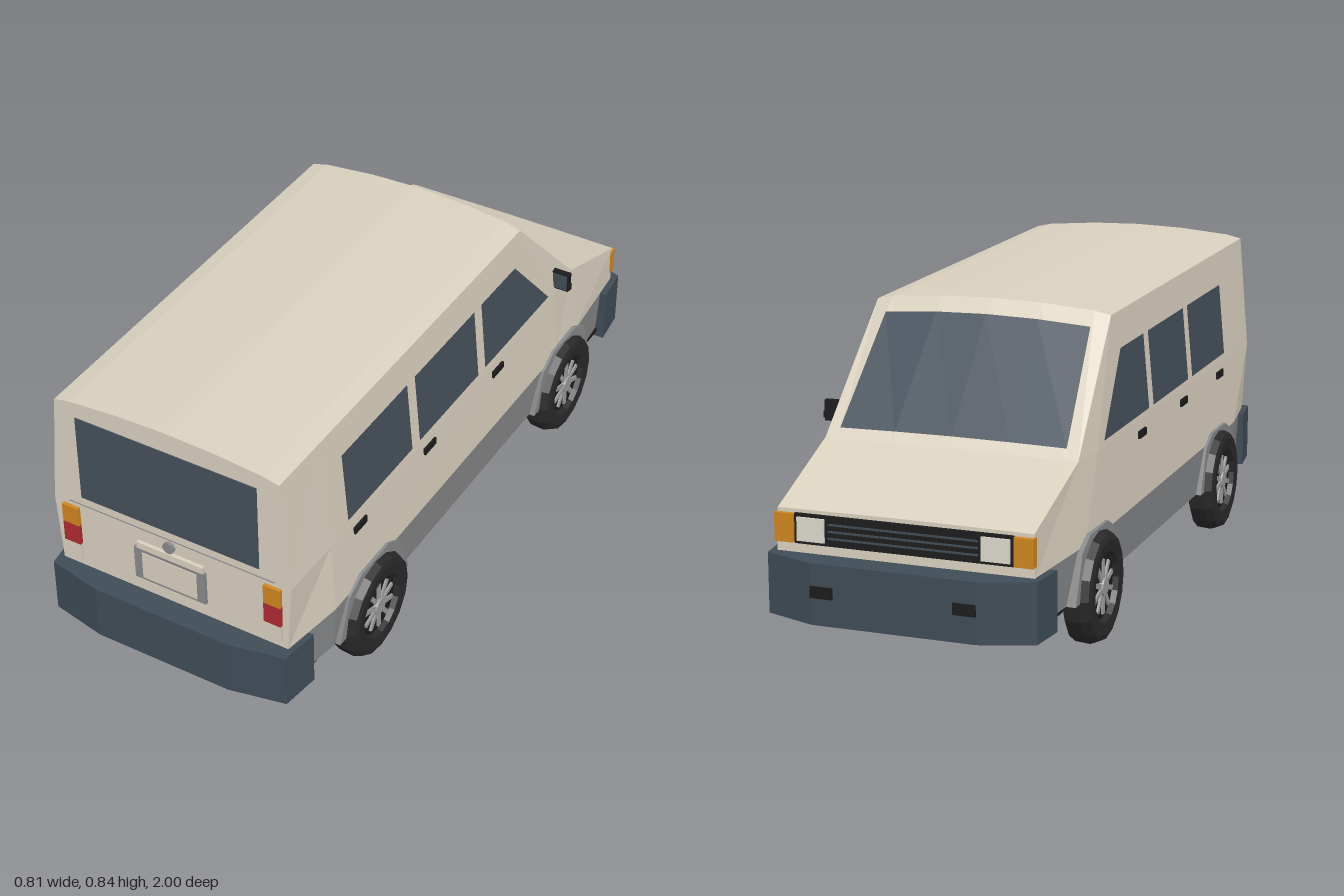
import * as THREE from 'three';

const mat = (name, color) => Object.assign(new THREE.MeshStandardMaterial({ color, flatShading: true }), { name });
const M = {
  paint: mat('cream paint', 0xd9d0be),
  glass: mat('tinted glass', 0x454f5b),
  bumper: mat('bumper slate', 0x3f4c57),
  sill: mat('sill grey', 0x88898a),
  black: mat('black trim', 0x1c1c1d),
  tyre: mat('tyre rubber', 0x29292a),
  metal: mat('wheel metal', 0x9a9a9a),
  orange: mat('indicator orange', 0xd0861f),
  red: mat('tail lamp red', 0xb02a31),
  lamp: mat('headlamp white', 0xdcd8cc),
};

// Mirrors a half profile (bottom to centre line) into a full ring from +x over the top to -x
const ring = (half) => [...half, ...half.slice(0, -1).reverse().map(([x, y, z]) => [-x, y, z])];

// Skins rings that run from the tail (+z) to the nose (-z)
function loft(rings, capped = true) {
  const v = [];
  const tri = (...p) => p.forEach((q) => v.push(...q));
  for (let i = 0; i < rings.length - 1; i++) {
    const A = rings[i], B = rings[i + 1];
    for (let j = 0; j < A.length - 1; j++) {
      tri(A[j], B[j], B[j + 1]);
      tri(A[j], B[j + 1], A[j + 1]);
    }
  }
  if (capped) {
    const A = rings[0], B = rings[rings.length - 1];
    for (let j = 1; j < A.length - 1; j++) {
      tri(A[0], A[j], A[j + 1]);
      tri(B[0], B[j + 1], B[j]);
    }
  }
  const g = new THREE.BufferGeometry();
  g.setAttribute('position', new THREE.Float32BufferAttribute(v, 3));
  g.computeVertexNormals();
  return g;
}

function createWheel() {
  const wheel = new THREE.Group();
  const add = (name, geo, m) => {
    const mesh = new THREE.Mesh(geo, m);
    mesh.name = name;
    wheel.add(mesh);
    return mesh;
  };
  // Lathe axis is y; the outer face of the wheel is at +y
  const profile = [[0, -0.04], [0.125, -0.04], [0.147, -0.03], [0.15, 0.012], [0.14, 0.035],
    [0.125, 0.04], [0.094, 0.037], [0.088, 0.02], [0, 0.02]];
  add('tyre', new THREE.LatheGeometry(profile.map(([x, y]) => new THREE.Vector2(x, y)), 16), M.tyre);
  add('rimDisc', new THREE.CylinderGeometry(0.086, 0.086, 0.008, 16).translate(0, 0.019, 0), M.black);
  add('hub', new THREE.CylinderGeometry(0.024, 0.028, 0.016, 12).translate(0, 0.026, 0), M.metal);
  for (let i = 0; i < 10; i++) {
    const spoke = new THREE.BoxGeometry(0.054, 0.01, 0.013).translate(0.046, 0.024, 0);
    add('spoke', spoke.rotateY((i / 10) * Math.PI * 2), M.metal);
  }
  return wheel;
}

export function createModel() {
  const van = new THREE.Group();
  van.name = 'van';
  const add = (name, geo, m) => {
    const mesh = new THREE.Mesh(geo, m);
    mesh.name = name;
    van.add(mesh);
    return mesh;
  };
  const box = (name, m, w, h, d, x, y, z) =>
    add(name, new THREE.BoxGeometry(w, h, d).translate(x, y, z), m);

  // Body shell: tail, rear quarter, front pillar, windscreen base, nose
  const roof = (z, lean) => [[0.33, 0.815, z], [0.285, 0.825, z - lean * 0.3], [0.14, 0.837, z - lean * 0.8], [0, 0.841, z - lean]];
  const pillar = ring([[0.373, 0.283, -0.5], [0.36, 0.5, -0.5], ...roof(-0.31, 0.01)]);
  const cowl = ring([[0.37, 0.283, -0.62], [0.35, 0.5, -0.62], [0.349, 0.5, -0.62], [0.315, 0.501, -0.62], [0.16, 0.503, -0.62], [0, 0.504, -0.62]]);
  add('bodyShell', loft([
    ring([[0.345, 0.283, 0.935], [0.358, 0.49, 0.935], ...roof(0.935, 0)]),
    ring([[0.373, 0.283, 0.75], [0.36, 0.49, 0.75], ...roof(0.75, 0)]),
    pillar,
    cowl,
    ring([[0.345, 0.283, -0.92], [0.343, 0.394, -0.92], [0.342, 0.395, -0.92], [0.3, 0.396, -0.92], [0.15, 0.397, -0.92], [0, 0.398, -0.92]]),
  ]), M.paint);

  // Windscreen lies just above the sloping panel
  const across = (t) => pillar.slice(3, 8).map((p, i) => {
    const q = cowl[i + 3];
    return [0, 1, 2].map((k) => p[k] + (q[k] - p[k]) * t + [0, 0.004, -0.004][k]);
  });
  add('windscreen', loft([across(0.12), across(0.93)], false), M.glass);

  // Lower sill band and floor
  const sillRing = (z, w) => ring([[w - 0.008, 0.15, z], [w, 0.284, z], [0, 0.284, z]]);
  add('sill', loft([sillRing(0.93, 0.345), sillRing(0.75, 0.373), sillRing(-0.62, 0.371), sillRing(-0.92, 0.345)]), M.sill);
  box('floor', M.black, 0.7, 0.012, 1.8, 0, 0.146, 0);

  // Bumpers: plan outlines with angled faces
  const bumper = (name, half, dir) => {
    const pts = [...half, ...half.slice().reverse().map(([x, z]) => [-x, z])].map(([x, z]) => new THREE.Vector2(x, -z * dir));
    const geo = new THREE.ExtrudeGeometry(new THREE.Shape(pts), { depth: 0.16, bevelEnabled: false });
    add(name, geo.rotateX(-Math.PI / 2).translate(0, 0.123, 0), M.bumper);
  };
  bumper('rearBumper', [[0.372, 0.857], [0.357, 0.968], [0.2, 1]], 1);
  bumper('frontBumper', [[0.372, 0.835], [0.36, 0.945], [0.22, 0.995]], -1);

  // Side windows, following the lean of the upper body side
  const sideX = (y) => 0.36 - (0.03 * (y - 0.495)) / 0.32 + 0.003;
  const windows = [
    [[0.665, 0.515], [0.335, 0.515], [0.335, 0.72], [0.665, 0.72]],
    [[0.295, 0.515], [-0.03, 0.515], [-0.03, 0.72], [0.295, 0.72]],
    [[-0.07, 0.515], [-0.45, 0.515], [-0.265, 0.72], [-0.07, 0.72]],
  ];
  for (const s of [1, -1]) {
    const side = s > 0 ? 'left' : 'right';
    for (const w of windows) {
      const order = s > 0 ? [0, 1, 2, 0, 2, 3] : [0, 2, 1, 0, 3, 2];
      const geo = new THREE.BufferGeometry().setFromPoints(
        order.map((i) => new THREE.Vector3(s * sideX(w[i][1]), w[i][1], w[i][0])));
      geo.computeVertexNormals();
      add(side + 'Window', geo, M.glass);
    }
    for (const z of [0.61, 0.245, -0.14]) box(side + 'DoorHandle', M.black, 0.012, 0.02, 0.06, s * 0.362, 0.462, z);

    // Wheels with flared arches
    for (const z of [0.56, -0.54]) {
      const wheel = createWheel();
      wheel.name = side + (z > 0 ? 'RearWheel' : 'FrontWheel');
      wheel.rotation.z = -s * Math.PI / 2;
      wheel.position.set(s * 0.365, 0.153, z);
      van.add(wheel);
      const arc = [[-0.18, 0], [-0.13, 0.128], [-0.07, 0.16], [0.07, 0.16], [0.13, 0.128], [0.18, 0]];
      const arch = new THREE.ExtrudeGeometry(
        new THREE.Shape(arc.map(([a, b]) => new THREE.Vector2(a, b))), { depth: 0.03, bevelEnabled: false });
      add(side + 'WheelArch', arch.rotateY(Math.PI / 2).translate(s > 0 ? 0.35 : -0.38, 0.15, z), M.sill);
    }

    // Tail lamps
    box(side + 'RearIndicator', M.orange, 0.05, 0.058, 0.014, s * 0.305, 0.45, 0.938);
    box(side + 'BrakeLamp', M.red, 0.05, 0.063, 0.014, s * 0.305, 0.39, 0.938);
    box(side + 'ReversingLamp', M.paint, 0.05, 0.053, 0.014, s * 0.305, 0.332, 0.938);

    // Nose lamps and bumper lamps
    box(side + 'FrontIndicator', M.orange, 0.052, 0.075, 0.025, s * 0.32, 0.348, -0.921);
    box(side + 'Headlamp', M.lamp, 0.075, 0.062, 0.02, s * 0.247, 0.348, -0.924);
    box(side + 'BumperLamp', M.black, 0.06, 0.03, 0.014, s * 0.19, 0.21, -0.994);
  }

  // Grille
  box('grille', M.black, 0.585, 0.078, 0.016, 0, 0.348, -0.921);
  for (const y of [0.33, 0.348, 0.366]) box('grilleSlat', M.bumper, 0.4, 0.005, 0.008, 0, y, -0.928);

  // Tailgate
  box('rearWindow', M.glass, 0.535, 0.26, 0.006, -0.002, 0.65, 0.935);
  box('tailgateSeam', M.sill, 0.62, 0.002, 0.004, 0, 0.493, 0.935);
  box('plateHood', M.paint, 0.2, 0.02, 0.016, 0, 0.441, 0.937);
  box('plateFrame', M.sill, 0.215, 0.102, 0.014, -0.002, 0.38, 0.937);
  box('plate', M.paint, 0.165, 0.084, 0.006, -0.002, 0.379, 0.943);
  add('tailgateLock', new THREE.CylinderGeometry(0.017, 0.017, 0.014, 16).rotateX(Math.PI / 2).translate(-0.003, 0.47, 0.937), M.sill);

  // Single door mirror
  box('mirrorArm', M.black, 0.065, 0.018, 0.014, 0.373, 0.533, -0.5);
  box('mirrorHousing', M.black, 0.052, 0.056, 0.018, 0.374, 0.546, -0.503);
  box('mirrorGlass', M.bumper, 0.044, 0.046, 0.004, 0.374, 0.546, -0.493);

  return van;
}
